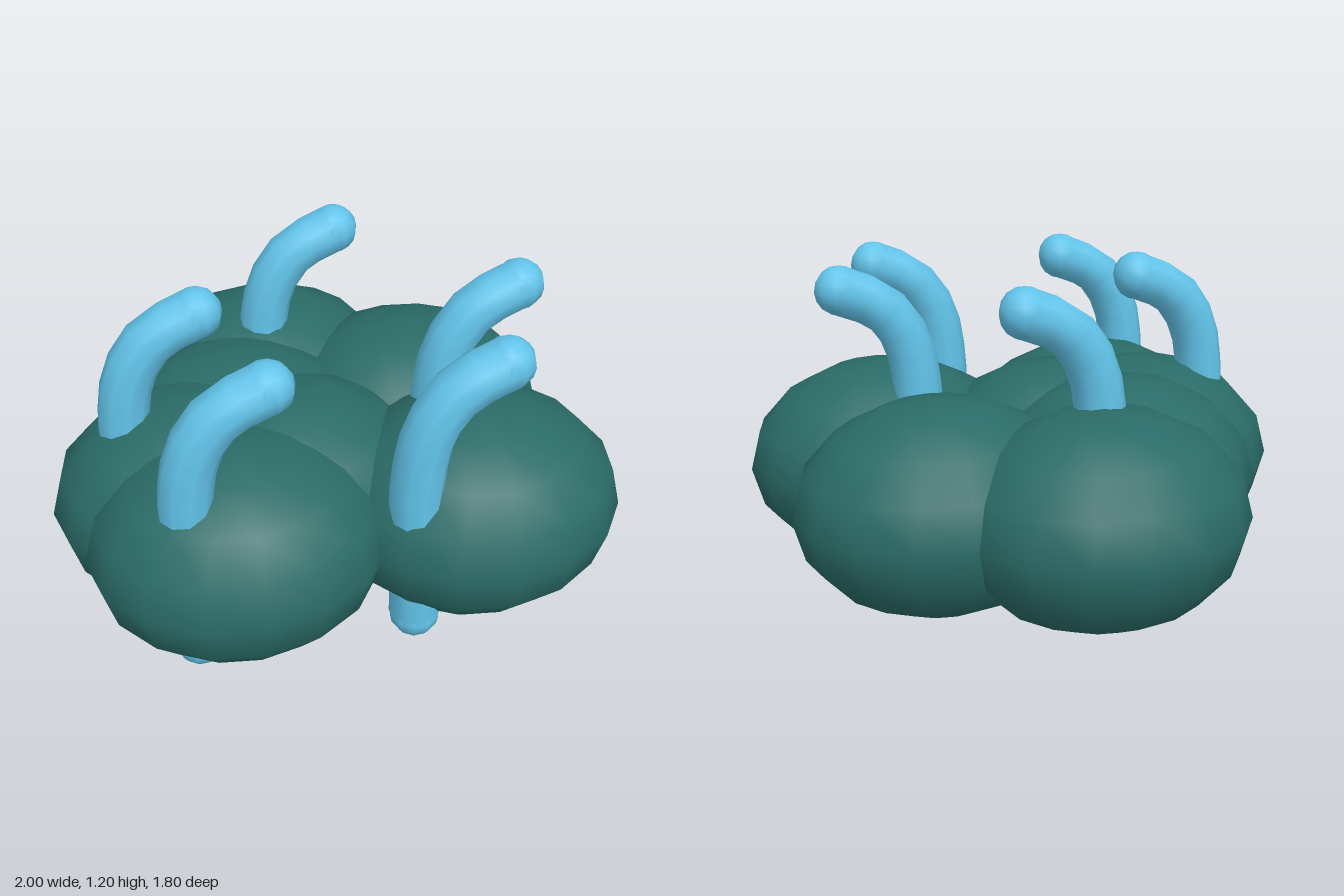
import * as THREE from 'three';

export function createModel() {
  const model = new THREE.Group();
  const bodyMaterial = new THREE.MeshStandardMaterial({ color: 0x2a6b67 });
  const stalkMaterial = new THREE.MeshStandardMaterial({ color: 0x62c4ea });

  // Cluster of equal, flattened lobes: [x, z]
  const lobeGeometry = new THREE.SphereGeometry(1, 16, 8);
  const lobes = [
    [-0.39, 0.44], [0.47, 0.44], [0.405, -0.14], [-0.09, -0.44],
    [-0.47, 0.155], [-0.29, -0.08], [-0.155, 0.205],
  ];
  const body = new THREE.Group();
  body.name = 'body';
  lobes.forEach(([x, z], i) => {
    const lobe = new THREE.Mesh(lobeGeometry, bodyMaterial);
    lobe.name = `lobe${i + 1}`;
    lobe.position.set(x, 0.4, z);
    lobe.scale.set(0.53, 0.39, 0.46);
    body.add(lobe);
  });
  model.add(body);

  // Bent stalk running through the body, leaning towards +x at the top
  const radius = 0.09;
  const path = new THREE.CatmullRomCurve3([
    [0, 0.1], [-0.01, 0.4], [-0.018, 0.7], [0.02, 0.92], [0.11, 1.05], [0.26, 1.12],
  ].map(([x, y]) => new THREE.Vector3(x, y, 0)));
  const tubeGeometry = new THREE.TubeGeometry(path, 12, radius, 10, false);
  const endGeometry = new THREE.SphereGeometry(radius, 10, 8);

  const stalks = [[0.19, 0.655], [-0.57, 0.59], [0.41, 0.21], [-0.7, 0.11], [-0.1, -0.345]];
  stalks.forEach(([x, z], i) => {
    const stalk = new THREE.Group();
    stalk.name = `stalk${i + 1}`;
    const tube = new THREE.Mesh(tubeGeometry, stalkMaterial);
    tube.name = 'stalkTube';
    stalk.add(tube);
    // Rounded ends
    [0, 1].forEach((t) => {
      const end = new THREE.Mesh(endGeometry, stalkMaterial);
      end.name = t ? 'stalkTip' : 'stalkFoot';
      end.position.copy(path.getPoint(t));
      stalk.add(end);
    });
    stalk.position.set(x, 0, z);
    model.add(stalk);
  });

  return model;
}
